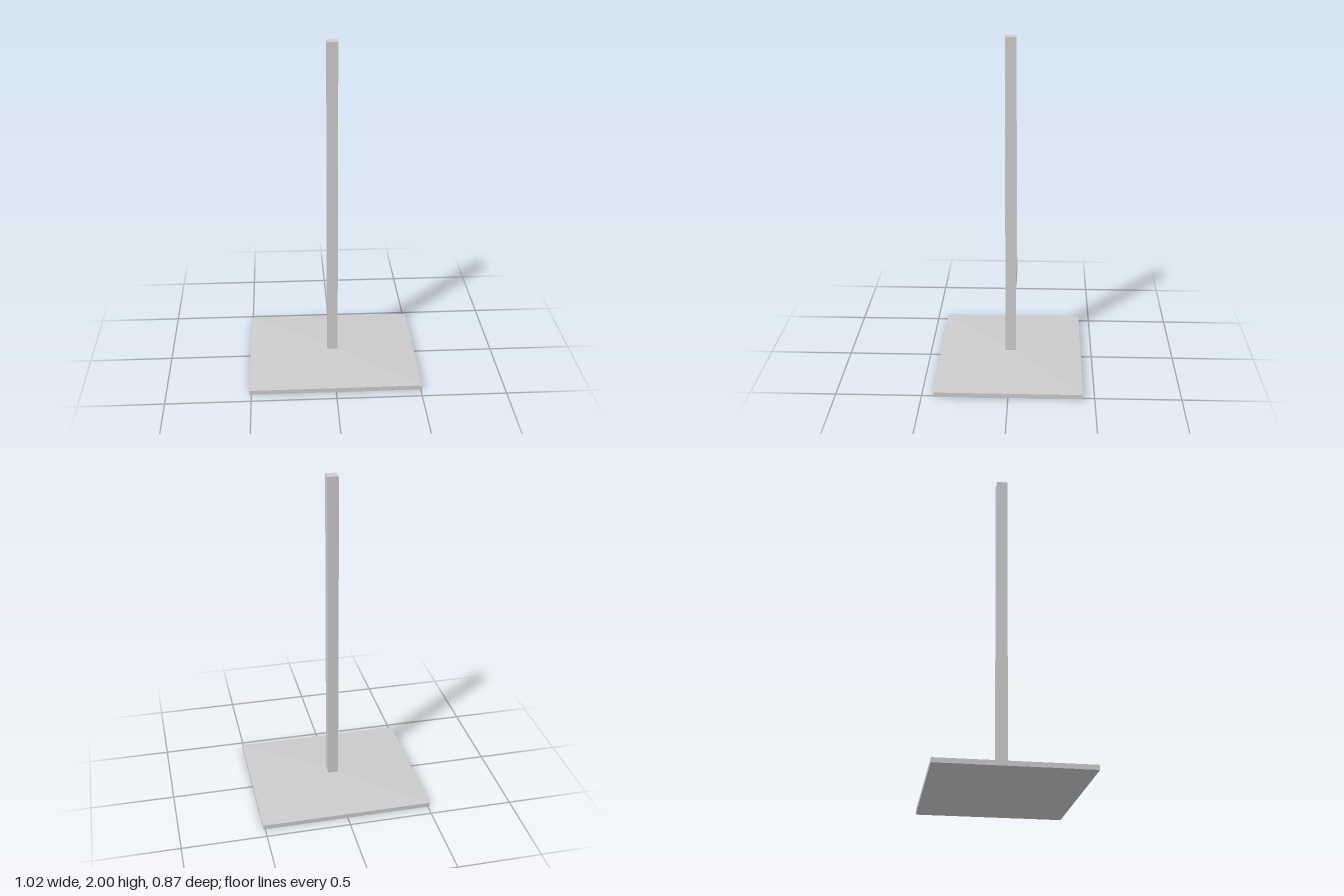
import * as THREE from 'three';

const POST = 0.064;      // square post width
const PLATE_W = 1.02;    // base size along x
const PLATE_D = 0.866;   // base size along z
const RIM_Y = 0.027;     // top of the base's vertical rim
const PEAK_Y = 0.055;    // where the sloped top meets the post
const HEIGHT = 2;

export function createModel() {
  const group = new THREE.Group();
  group.name = 'postOnBase';
  const material = new THREE.MeshStandardMaterial({ color: 0xcccccc, flatShading: true });

  // Base: a box with two rows, the upper row drawn in to the post's footprint
  const box = new THREE.BoxGeometry(PLATE_W, 2, PLATE_D, 1, 2, 1);
  const pos = box.attributes.position;
  for (let i = 0; i < pos.count; i++) {
    const row = Math.round(pos.getY(i)) + 1;
    pos.setY(i, [0, RIM_Y, PEAK_Y][row]);
    if (row === 2) {
      pos.setX(i, Math.sign(pos.getX(i)) * POST / 2);
      pos.setZ(i, Math.sign(pos.getZ(i)) * POST / 2);
    }
  }
  const baseGeometry = box.toNonIndexed();
  baseGeometry.computeVertexNormals();
  const base = new THREE.Mesh(baseGeometry, material);
  base.name = 'base';
  group.add(base);

  // Post: plain square column standing on the peak of the base
  const postHeight = HEIGHT - PEAK_Y;
  const post = new THREE.Mesh(new THREE.BoxGeometry(POST, postHeight, POST), material);
  post.position.y = PEAK_Y + postHeight / 2;
  post.name = 'post';
  group.add(post);

  return group;
}
